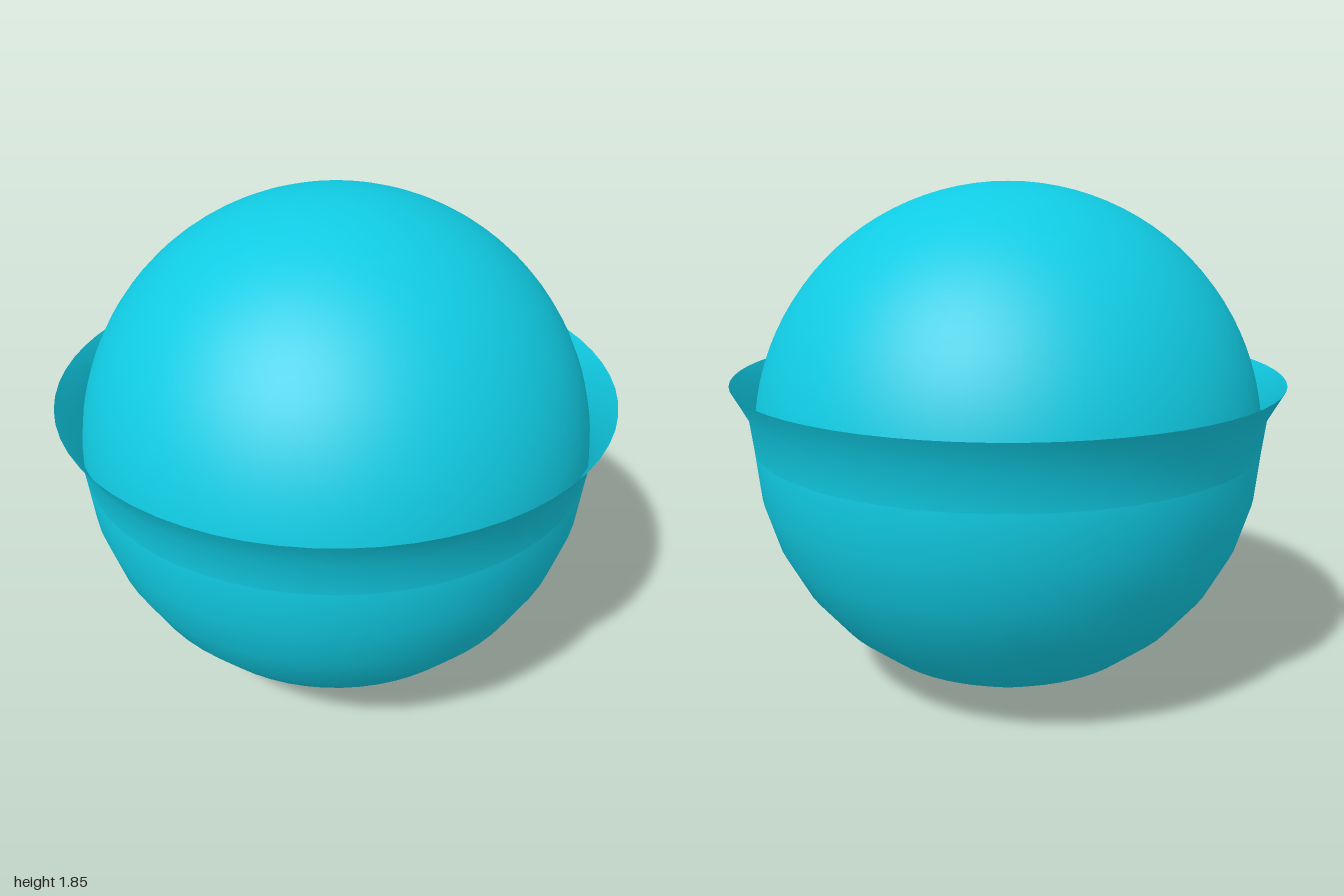
import * as THREE from 'three';

export function createModel() {
  const group = new THREE.Group();
  const R = 0.925;
  const aqua = new THREE.MeshStandardMaterial({ color: 0x10cbe3, side: THREE.DoubleSide });
  aqua.name = 'aqua';

  const add = (name, geometry, y = 0) => {
    const mesh = new THREE.Mesh(geometry, aqua);
    mesh.name = name;
    mesh.position.y = y;
    group.add(mesh);
  };

  // Smooth upper half of the ball
  add('dome', new THREE.SphereGeometry(R, 64, 24, 0, Math.PI * 2, 0, Math.PI / 2), R);

  // Lower half, with coarser rings
  add('bowl', new THREE.SphereGeometry(R, 64, 8, 0, Math.PI * 2, Math.PI / 2, Math.PI / 2), R);

  // Thin open lip flaring outward around the equator
  const profile = [[R, R], [0.94, 1.05], [1, 1.16]].map(([x, y]) => new THREE.Vector2(x, y));
  add('flaredLip', new THREE.LatheGeometry(profile, 64));

  return group;
}
